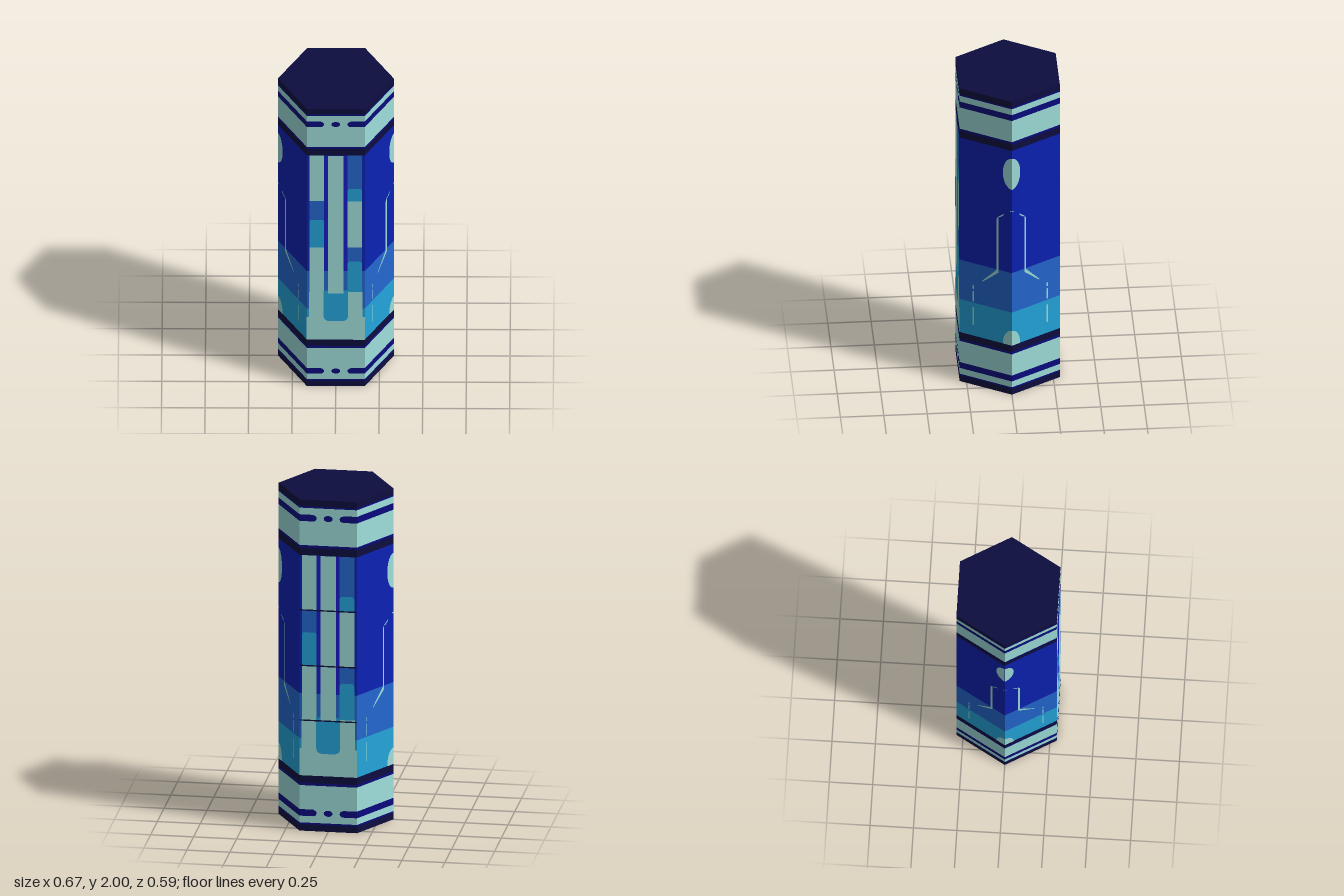
import * as THREE from 'three';

const R = 1 / 3;                          // hexagon corner radius
const APOTHEM = R * Math.cos(Math.PI / 6);
const HALF = R / 2;                       // half the width of one face
const STEP = 0.0015;                      // height of one painted layer

export function createModel() {
  const mat = (name, color) => {
    const m = new THREE.MeshStandardMaterial({ color });
    m.name = name;
    return m;
  };
  const navy = mat('navy', 0x0d0d40);
  const deep = mat('deep blue', 0x0a0a80);
  const royal = mat('royal blue', 0x0c22b4);
  const vivid = mat('vivid blue', 0x1a1ac8);
  const mid = mat('mid blue', 0x2468d0);
  const sky = mat('sky blue', 0x24a6dc);
  const pale = mat('pale aqua', 0x9fe0dc);

  const model = new THREE.Group();
  model.name = 'hexagonalColumn';

  // Stacked hexagonal bands
  const band = (name, y0, y1, material, capped = false) => {
    const g = new THREE.CylinderGeometry(R, R, y1 - y0, 6, 1, !capped, Math.PI / 2).toNonIndexed();
    g.computeVertexNormals();
    const mesh = new THREE.Mesh(g, material);
    mesh.name = name;
    mesh.position.y = (y0 + y1) / 2;
    model.add(mesh);
  };
  const rimBands = [
    ['endCap', 0, 0.04, navy, true],
    ['outerLine', 0.04, 0.05, deep],
    ['outerCollar', 0.05, 0.09, pale],
    ['collarStripe', 0.09, 0.13, deep],
    ['innerCollar', 0.13, 0.275, pale],
    ['innerLine', 0.275, 0.29, deep],
    ['innerRim', 0.29, 0.335, navy],
  ];
  for (const [name, y0, y1, m, capped] of rimBands) {
    band(name + 'Bottom', y0, y1, m, capped);
    band(name + 'Top', 2 - y1, 2 - y0, m, capped);
  }
  band('lowerBody', 0.335, 0.56, sky);
  band('middleBody', 0.56, 0.83, mid);
  band('upperBody', 0.83, 1.665, royal);

  // A group whose local xy plane lies on one face of the column
  const face = (name, angle) => {
    const g = new THREE.Group();
    g.name = name;
    g.rotation.y = angle;
    model.add(g);
    return g;
  };
  const paint = (parent, name, shape, material, layer = 1) => {
    const mesh = new THREE.Mesh(new THREE.ShapeGeometry(shape, 12), material);
    mesh.name = name;
    mesh.position.z = APOTHEM + layer * STEP;
    parent.add(mesh);
  };
  const poly = (pts) => new THREE.Shape(pts.map(([x, y]) => new THREE.Vector2(x, y)));
  const rect = (x0, x1, y0, y1) => poly([[x0, y0], [x1, y0], [x1, y1], [x0, y1]]);
  // Rectangle with rounded top (top = true) or rounded bottom corners
  const rounded = (x0, x1, y0, y1, r, top) => {
    const [a, b, d] = top ? [y0, y1, -r] : [y1, y0, r];
    const s = new THREE.Shape();
    s.moveTo(x0, a);
    s.lineTo(x1, a);
    s.lineTo(x1, b + d);
    s.quadraticCurveTo(x1, b, x1 - r, b);
    s.lineTo(x0 + r, b);
    s.quadraticCurveTo(x0, b, x0, b + d);
    return s;
  };
  const ellipse = (x, y, rx, ry, a0 = 0, a1 = Math.PI * 2) => {
    const s = new THREE.Shape();
    s.absellipse(x, y, rx, ry, a0, a1, false, 0);
    return s;
  };

  // Front and back faces: coloured bars above a pale base
  for (const [name, angle] of [['frontFace', 0], ['backFace', Math.PI]]) {
    const f = face(name, angle);
    paint(f, 'paleBase', rect(-0.155, 0.155, 0.335, 0.68), pale);
    paint(f, 'paleFoot', rect(-HALF, HALF, 0.335, 0.5), pale);
    paint(f, 'centreCup', rounded(-0.07, 0.07, 0.47, 0.69, 0.04, false), sky, 2);
    for (const s of [-1, 1]) {
      const x0 = Math.min(s * 0.045, s * 0.064);
      paint(f, 'barGap', rect(x0, x0 + 0.019, 0.83, 1.665), vivid);
    }
    paint(f, 'centreBar', rect(-0.045, 0.045, 0.67, 1.665), pale, 3);

    const [l0, l1, r0, r1] = [-0.152, -0.068, 0.067, 0.152];
    paint(f, 'leftBarTop', rect(l0, l1, 1.335, 1.665), pale);
    paint(f, 'leftBarMiddle', rect(l0, l1, 1.0, 1.335), mid);
    paint(f, 'leftBarArch', rounded(l0, l1, 1.0, 1.2, 0.015, true), sky, 2);
    paint(f, 'leftBarBottom', rect(l0, l1, 0.67, 1.0), pale);
    paint(f, 'rightBarTop', rect(r0, r1, 1.335, 1.665), mid);
    paint(f, 'rightBarUpperArch', rounded(r0, r1, 1.335, 1.425, 0.02, true), sky, 2);
    paint(f, 'rightBarMiddle', rect(r0, r1, 1.0, 1.335), pale);
    paint(f, 'rightBarBottom', rect(r0, r1, 0.68, 1.0), mid);
    paint(f, 'rightBarLowerArch', rounded(r0, r1, 0.68, 0.9, 0.02, true), sky, 2);

    // Break in the collar stripes, with a dot in the middle
    for (const y of [0.11, 1.89]) {
      paint(f, 'stripeBreak', rect(-0.085, 0.085, y - 0.021, y + 0.021), pale);
      for (const [x, rx] of [[-0.085, 0.018], [0, 0.026], [0.085, 0.018]]) {
        paint(f, 'stripeDot', ellipse(x, y, rx, 0.018), deep, 2);
      }
    }
    // Fine seams across the back
    if (angle) {
      for (const y of [0.67, 1.0, 1.335]) {
        paint(f, 'seam', rect(-HALF, HALF, y - 0.004, y + 0.004), navy, 4);
      }
    }
  }

  // Four side faces; d is the distance from the outer column corner
  const sides = [
    ['leftFrontFace', 60, 1], ['leftBackFace', 120, -1],
    ['rightFrontFace', -60, -1], ['rightBackFace', -120, 1],
  ];
  for (const [name, degrees, m] of sides) {
    const f = face(name, THREE.MathUtils.degToRad(degrees));
    const u = (d) => m * (HALF - d);
    const line = (label, pts) => paint(f, label, poly(pts.map(([d, y]) => [u(d), y])), pale);
    const q = Math.PI / 2;
    const [a0, a1] = m > 0 ? [q, 3 * q] : [-q, q];
    paint(f, 'halfOval', ellipse(u(0), 1.505, 0.057, 0.105, a0, a1), pale);
    const [b0, b1] = m > 0 ? [q, 2 * q] : [0, q];
    const mound = ellipse(u(0), 0.335, 0.057, 0.1, b0, b1);
    mound.lineTo(u(0), 0.335);
    paint(f, 'lowerMound', mound, pale);

    // Bottle-shaped outline running down the face
    line('outlineTip', [[0, 1.248], [0.012, 1.246], [0.012, 1.252], [0, 1.254]]);
    line('outlineShoulder', [[0.05, 1.214], [0.078, 1.19], [0.084, 1.196], [0.052, 1.221]]);
    line('outlineNeck', [[0.085, 1.2], [0.098, 1.175], [0.098, 0.825], [0.19, 0.725],
      [0.185, 0.722], [0.085, 0.81]]);
    for (const [y0, y1] of [[0.655, 0.68], [0.57, 0.64], [0.41, 0.53]]) {
      line('outlineDash', [[0.241, y0], [0.249, y0], [0.249, y1], [0.241, y1]]);
    }
  }
  return model;
}
